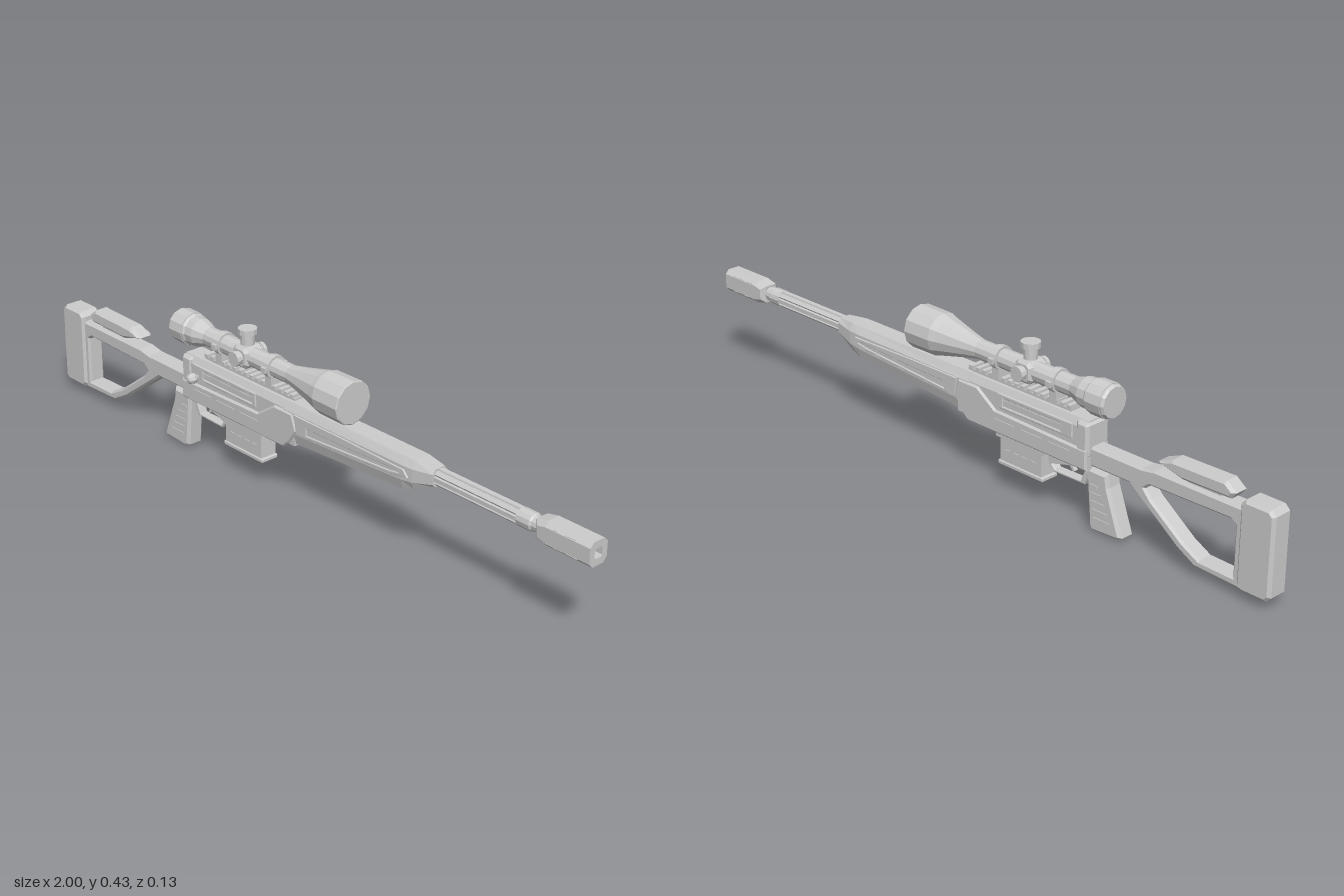
import * as THREE from 'three';

const steel = new THREE.MeshStandardMaterial({ color: 0xcccccc });
steel.name = 'light grey';

export function createModel() {
  const model = new THREE.Group();
  model.name = 'rifle';
  model.position.z = -0.005;

  // Adds a faceted mesh
  const add = (name, geo, x = 0, y = 0, z = 0) => {
    const g = geo.index ? geo.toNonIndexed() : geo;
    g.computeVertexNormals();
    const m = new THREE.Mesh(g, steel);
    m.name = name;
    m.position.set(x, y, z);
    model.add(m);
    return m;
  };
  const vecs = pts => pts.map(p => new THREE.Vector2(p[0], p[1]));

  // Side profile (x, y) given a width in z and chamfered edges
  const profile = (pts, width, bevel = 0, holes = []) => {
    const s = new THREE.Shape(vecs(pts));
    holes.forEach(h => s.holes.push(new THREE.Path(vecs(h))));
    const depth = width - 2 * bevel;
    return new THREE.ExtrudeGeometry(s, {
      depth, bevelEnabled: bevel > 0, bevelSize: bevel, bevelThickness: bevel,
      bevelOffset: -bevel, bevelSegments: 1,
    }).translate(0, 0, -depth / 2);
  };
  const rect = (x0, x1, y0, y1) => [[x0, y0], [x1, y0], [x1, y1], [x0, y1]];
  const chamfered = (x0, x1, y0, y1, c) => [
    [x0 + c, y0], [x1 - c, y0], [x1, y0 + c], [x1, y1 - c],
    [x1 - c, y1], [x0 + c, y1], [x0, y1 - c], [x0, y0 + c]];

  // Cross-section (z, y) swept along x
  const alongX = (pts, x0, x1, holes = []) => {
    const s = new THREE.Shape(vecs(pts));
    holes.forEach(h => s.holes.push(new THREE.Path(vecs(h))));
    return new THREE.ExtrudeGeometry(s, { depth: x1 - x0, bevelEnabled: false })
      .rotateY(Math.PI / 2).translate(x0, 0, 0);
  };
  const box = (name, x0, x1, y0, y1, w, z = 0) =>
    add(name, new THREE.BoxGeometry(x1 - x0, y1 - y0, w), (x0 + x1) / 2, (y0 + y1) / 2, z);

  // Turned part along x from [x, radius] pairs
  const turned = (name, pts, y, sides = 12) => add(name,
    new THREE.LatheGeometry(vecs(pts.map(([x, r]) => [r, x])), sides).rotateZ(-Math.PI / 2), 0, y);

  // Octagonal loft; section: [x, top, shoulder, low, bottom, topHalf, midHalf, bottomHalf]
  const loft = sections => {
    const pos = [], idx = [], n = 8;
    sections.forEach(([x, T, S, L, B, t, m, b]) => [[-t, T], [t, T], [m, S], [m, L],
      [b, B], [-b, B], [-m, L], [-m, S]].forEach(([z, y]) => pos.push(x, y, z)));
    const last = (sections.length - 1) * n;
    for (let k = 0; k < last; k += n) for (let i = 0; i < n; i++) {
      const a = k + i, b = k + (i + 1) % n;
      idx.push(a, b, b + n, a, b + n, a + n);
    }
    for (let i = 1; i < n - 1; i++) idx.push(last, last + i, last + i + 1, 0, i + 1, i);
    const g = new THREE.BufferGeometry();
    g.setAttribute('position', new THREE.Float32BufferAttribute(pos, 3));
    g.setIndex(idx);
    return g;
  };

  // Shoulder stock
  add('buttPad', profile(chamfered(-1, -0.9, 0.025, 0.262, 0.014), 0.064, 0.008));
  add('stockFrame', profile(
    [[-0.91, 0.025], [-0.77, 0.03], [-0.715, 0.06], [-0.585, 0.155], [-0.56, 0.175],
      [-0.42, 0.175], [-0.42, 0.228], [-0.6, 0.228], [-0.64, 0.235], [-0.91, 0.235]], 0.05, 0.006,
    [[[-0.885, 0.05], [-0.785, 0.052], [-0.735, 0.078], [-0.63, 0.155], [-0.61, 0.178],
      [-0.625, 0.19], [-0.87, 0.195], [-0.885, 0.185]]]));
  add('cheekRest', profile([[-0.865, 0.243], [-0.72, 0.24], [-0.645, 0.262], [-0.69, 0.281],
    [-0.85, 0.284], [-0.88, 0.262]], 0.05, 0.008));
  box('cheekRestPost', -0.83, -0.73, 0.23, 0.25, 0.024);

  // Pistol grip with side grooves
  add('grip', profile([[-0.54, 0.013], [-0.53, 0.006], [-0.445, 0.001], [-0.434, 0.01],
    [-0.42, 0.17], [-0.49, 0.17], [-0.495, 0.135]], 0.052, 0.008));
  for (let i = 0; i < 5; i++) add('gripRib', profile(
    rect(-0.505 + i * 0.011, -0.452 + i * 0.004, 0.035 + i * 0.022, 0.043 + i * 0.022), 0.056));

  // Trigger and guard
  add('triggerGuard', profile([[-0.43, 0.168], [-0.405, 0.11], [-0.3, 0.108], [-0.282, 0.125], [-0.278, 0.168]],
    0.026, 0.003, [[[-0.41, 0.163], [-0.393, 0.119], [-0.305, 0.117], [-0.293, 0.13], [-0.29, 0.163]]]));
  add('trigger', profile([[-0.362, 0.17], [-0.345, 0.17], [-0.346, 0.145], [-0.36, 0.128],
    [-0.366, 0.131], [-0.356, 0.147]], 0.012));

  // Magazine
  box('magazine', -0.27, -0.125, 0.08, 0.17, 0.05);
  add('magazineBase', profile(chamfered(-0.277, -0.118, 0.073, 0.086, 0.003), 0.056, 0.003));
  for (let i = 0; i < 4; i++) box('magazineMark', -0.25 + i * 0.03, -0.233 + i * 0.03, 0.117, 0.121, 0.054);
  box('magazineWell', -0.285, -0.115, 0.152, 0.175, 0.062);

  // Receiver
  add('upperReceiver', loft([-0.43, 0.02].map(x => [x, 0.295, 0.275, 0.2, 0.18, 0.026, 0.036, 0.036])));
  add('lowerReceiver', profile([[-0.435, 0.165], [-0.02, 0.165], [0.0, 0.182], [0.032, 0.225], [0.015, 0.272],
    [-0.055, 0.272], [-0.12, 0.228], [-0.4, 0.222], [-0.435, 0.222]], 0.084, 0.005));
  add('rearBlock', profile(chamfered(-0.437, -0.395, 0.2, 0.292, 0.006), 0.08, 0.008));
  add('ejectionFrame', profile(rect(-0.385, -0.13, 0.237, 0.278), 0.079, 0.002,
    [rect(-0.345, -0.145, 0.245, 0.268)]));
  box('boltBody', -0.35, -0.14, 0.25, 0.262, 0.075);
  for (const s of [1, -1]) for (let i = 0; i < 3; i++)
    box('receiverSlot', -0.38 + i * 0.095, -0.31 + i * 0.095, 0.2, 0.206, 0.004, s * 0.042);

  // Bolt handle
  add('boltHandle', new THREE.CylinderGeometry(0.006, 0.008, 0.035, 8).rotateX(Math.PI / 2), -0.37, 0.245, 0.044);
  add('boltKnob', new THREE.SphereGeometry(0.016, 8, 6).rotateX(Math.PI / 2), -0.37, 0.245, 0.057);

  // Top rail
  box('rail', -0.36, 0.0, 0.29, 0.302, 0.034);
  for (let i = 0; i < 16; i++) box('railTooth', -0.36 + i * 0.0228, -0.347 + i * 0.0228, 0.301, 0.311, 0.04);

  // Handguard with a framed slot on each side
  add('handguard', loft([
    [-0.02, 0.296, 0.273, 0.212, 0.183, 0.026, 0.038, 0.03],
    [0.41, 0.296, 0.276, 0.236, 0.208, 0.026, 0.038, 0.03],
    [0.445, 0.296, 0.276, 0.24, 0.218, 0.025, 0.036, 0.027],
    [0.505, 0.292, 0.28, 0.253, 0.244, 0.016, 0.025, 0.016]]));
  add('slotFrame', profile([[0.03, 0.218], [0.38, 0.24], [0.435, 0.25], [0.42, 0.268], [0.2, 0.272], [0.02, 0.272]],
    0.082, 0.002, [[[0.07, 0.229], [0.37, 0.248], [0.405, 0.253], [0.39, 0.258], [0.22, 0.25], [0.07, 0.248]]]));

  // Fluted barrel
  const flutes = [];
  for (let i = 0; i < 8; i++) for (const [off, r] of [[-0.24, 0.023], [0.24, 0.023], [0.36, 0.019], [0.43, 0.019]]) {
    const a = (i * Math.PI) / 4 + off;
    flutes.push([r * Math.cos(a), 0.268 + r * Math.sin(a)]);
  }
  add('flutedBarrel', alongX(flutes, 0.48, 0.78));
  turned('barrelEnd', [[0.77, 0], [0.77, 0.024], [0.81, 0.024], [0.815, 0.02], [0.85, 0.02], [0.85, 0]], 0.268);

  // Muzzle brake with open side ports
  add('muzzleBrake', profile([[0.83, 0.245], [0.865, 0.236], [0.972, 0.236], [0.972, 0.301], [0.865, 0.301], [0.83, 0.293]],
    0.06, 0.012, [[[0.882, 0.258], [0.907, 0.258], [0.913, 0.28], [0.888, 0.28]],
      [[0.928, 0.258], [0.953, 0.258], [0.953, 0.28], [0.934, 0.28]]]));
  add('muzzleTip', alongX(chamfered(-0.03, 0.03, 0.236, 0.301, 0.012), 0.955, 1.0,
    [chamfered(-0.013, 0.013, 0.255, 0.281, 0.004)]));

  // Telescopic sight
  const sy = 0.355;
  turned('scopeBody', [[-0.487, 0], [-0.487, 0.041], [-0.48, 0.045], [-0.425, 0.045], [-0.42, 0.041],
    [-0.395, 0.04], [-0.36, 0.027], [-0.03, 0.026], [0.01, 0.034], [0.09, 0.053], [0.11, 0.059],
    [0.198, 0.06], [0.2, 0.057], [0.2, 0]], sy);
  turned('eyepieceRing', [[-0.475, 0.04], [-0.475, 0.047], [-0.43, 0.047], [-0.43, 0.04]], sy);
  for (const x of [-0.3, -0.1]) {
    turned('scopeRing', [[x - 0.01, 0.02], [x - 0.01, 0.033], [x + 0.01, 0.033], [x + 0.01, 0.02]], sy);
    box('scopeMount', x - 0.012, x + 0.012, 0.3, 0.34, 0.042);
    for (const s of [1, -1]) box('ringClamp', x - 0.008, x + 0.008, 0.348, 0.362, 0.012, s * 0.034);
  }
  // Adjustment turrets
  add('turretBlock', profile(chamfered(-0.234, -0.174, 0.325, 0.385, 0.012), 0.062, 0.008));
  const knob = (name, r, h) => new THREE.CylinderGeometry(r, r, h, 12);
  add('topTurret', knob('', 0.019, 0.05), -0.204, 0.395);
  add('topTurretCap', knob('', 0.026, 0.015), -0.204, 0.423);
  for (const s of [1, -1]) {
    add('sideTurret', knob('', 0.018, 0.03).rotateX(Math.PI / 2), -0.204, sy, s * 0.032);
    add('sideTurretCap', knob('', 0.021, 0.01).rotateX(Math.PI / 2), -0.204, sy, s * 0.046);
  }
  return model;
}
